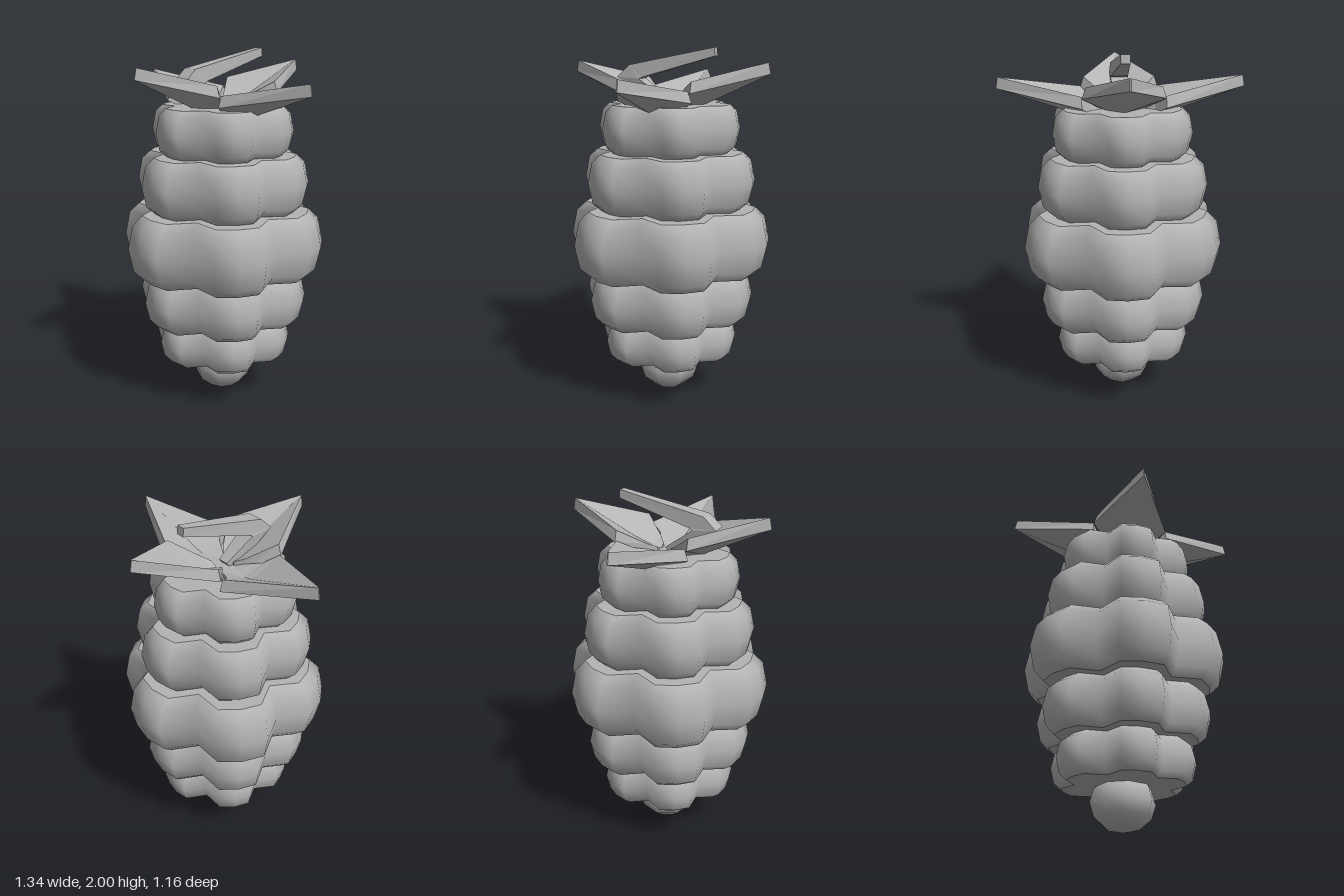
import * as THREE from 'three';

// Skin a list of rings (each counter-clockwise seen from the end of the loft) and cap both ends.
function loft(rings, flat) {
  const pos = [], idx = [], n = rings[0].length;
  rings.forEach(r => r.forEach(p => pos.push(...p)));
  for (let i = 0; i < rings.length - 1; i++) {
    for (let j = 0; j < n; j++) {
      const a = i * n + j, b = i * n + (j + 1) % n;
      idx.push(a, b, a + n, b, b + n, a + n);
    }
  }
  // End caps have their own vertices so the rims stay sharp
  [rings[0], rings[rings.length - 1]].forEach((ring, end) => {
    const start = pos.length / 3;
    ring.forEach(p => pos.push(...p));
    pos.push(...[0, 1, 2].map(k => ring.reduce((s, p) => s + p[k], 0) / n));
    for (let j = 0; j < n; j++) {
      const a = start + j, b = start + (j + 1) % n;
      if (end) idx.push(a, b, start + n); else idx.push(b, a, start + n);
    }
  });
  let geo = new THREE.BufferGeometry();
  geo.setAttribute('position', new THREE.Float32BufferAttribute(pos, 3));
  geo.setIndex(idx);
  if (flat) geo = geo.toNonIndexed();
  geo.computeVertexNormals();
  return geo;
}

// Six-lobed outline: tip, shoulder, valley, shoulder for each lobe
function lobedRing(radius, y) {
  const ring = [];
  for (let lobe = 0; lobe < 6; lobe++) {
    [[0, 1], [13.5, 0.987], [30, 0.775], [46.5, 0.987]].forEach(([deg, k]) => {
      const a = THREE.MathUtils.degToRad(lobe * 60 + deg);
      ring.push([Math.sin(a) * radius * k, y, Math.cos(a) * radius * k]);
    });
  }
  return ring;
}

function berryTier(bottom, top, radius) {
  const rows = [[0, 0.85], [0.14, 0.95], [0.5, 1], [0.86, 0.95], [1, 0.85]];
  return loft(rows.map(([t, k]) => lobedRing(radius * k, bottom + (top - bottom) * t)));
}

// Folded leaf along +z; each station is [length, half width, edge height, midrib height]
function leafGeometry(stations) {
  const t = 0.06;
  return loft(stations.map(([z, w, edge, mid]) => {
    const wb = w + (w > 0.1 ? 0.02 : 0), zb = z + (w < 0.01 ? 0.012 : 0);
    return [
      [-wb, edge - t, zb], [0, mid - t, zb], [wb, edge - t, zb],
      [w, edge, z], [0, mid, z], [-w, edge, z],
    ];
  }), true);
}

export function createModel() {
  const group = new THREE.Group();
  const grey = new THREE.MeshStandardMaterial({ color: 0xb4b4b4 });
  grey.name = 'plain grey';
  const add = (name, geo) => {
    const mesh = new THREE.Mesh(geo, grey);
    mesh.name = name;
    group.add(mesh);
    return mesh;
  };

  // Stacked tiers of the berry
  [
    [0.24, 0.47, 0.40], [0.47, 0.76, 0.49], [0.76, 1.13, 0.58],
    [1.13, 1.44, 0.49], [1.44, 1.70, 0.40],
  ].forEach((tier, i) => add('berryTier' + (i + 1), berryTier(...tier)));

  // Single drupelet at the foot
  const tip = add('bottomDrupelet', new THREE.SphereGeometry(0.18, 8, 6));
  tip.scale.set(1, 0.86, 1);
  tip.position.y = 0.155;

  // Four leaves: a longer low pair to the sides, a shorter raised pair front and back
  const sideLeaf = leafGeometry([
    [0.04, 0.05, 1.70, 1.69], [0.17, 0.12, 1.74, 1.70],
    [0.22, 0.19, 1.78, 1.71], [0.66, 0.003, 1.86, 1.86],
  ]);
  const endLeaf = leafGeometry([
    [0.04, 0.04, 1.72, 1.70], [0.08, 0.09, 1.745, 1.71],
    [0.20, 0.20, 1.83, 1.755], [0.555, 0.003, 1.925, 1.925],
  ]);
  ['frontLeaf', 'leftLeaf', 'backLeaf', 'rightLeaf'].forEach((name, i) => {
    add(name, i % 2 ? sideLeaf : endLeaf).rotation.y = i * Math.PI / 2;
  });

  // Stem leans forward, then bends back: [half width, outer z, y, inner z, y]
  add('stem', loft([
    [0.03, 0.05, 1.66, 0, 1.72], [0.05, 0.29, 1.84, 0.16, 1.83],
    [0.047, 0.22, 1.905, 0.14, 1.84], [0.024, -0.265, 2.0, -0.27, 1.955],
  ].map(([w, zo, yo, zi, yi]) => [[-w, yo, zo], [w, yo, zo], [w, yi, zi], [-w, yi, zi]]), true));

  return group;
}
